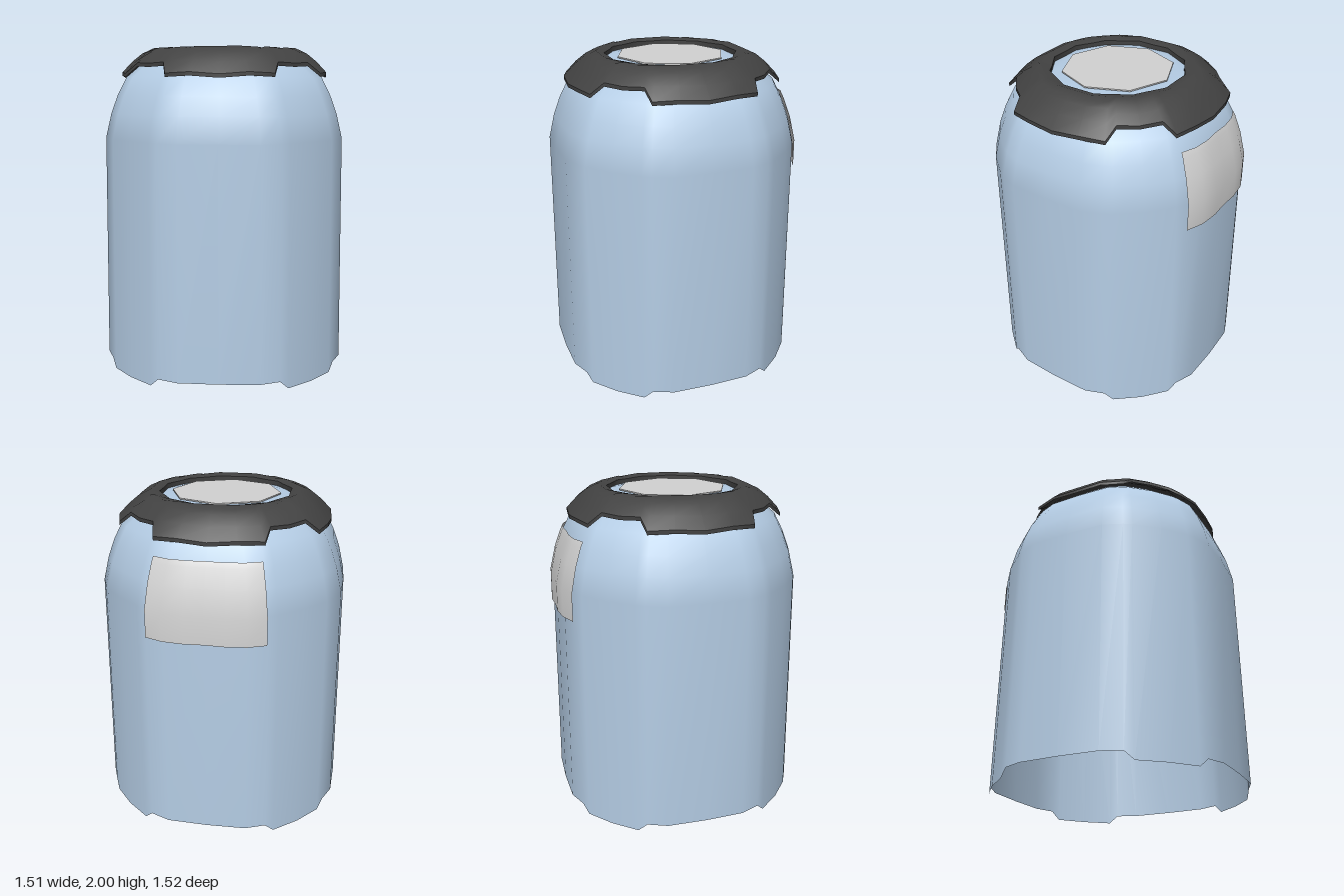
import * as THREE from 'three';

const blue = new THREE.MeshStandardMaterial({ name: 'paleBlueShell', color: 0xb4cce4, side: THREE.DoubleSide });
const dark = new THREE.MeshStandardMaterial({ name: 'charcoalRing', color: 0x424242 });
const grey = new THREE.MeshStandardMaterial({ name: 'lightGreyPanel', color: 0xd2d2d2, side: THREE.DoubleSide });

// Piecewise linear lookup in [x, y] pairs with rising x
function lookup(table, x) {
  if (x <= table[0][0]) return table[0][1];
  for (let i = 1; i < table.length; i++) {
    const [x0, y0] = table[i - 1], [x1, y1] = table[i];
    if (x <= x1) return y0 + (y1 - y0) * (x - x0) / (x1 - x0);
  }
  return table[table.length - 1][1];
}

// Angle in degrees from the nearest flat side, 0 to 45
const fold = (deg) => { const a = ((deg % 90) + 90) % 90; return Math.min(a, 90 - a); };

// Rounded-square plan: radius factor by angle
const plan = (deg) => lookup([[0, 1], [18, 1.04], [31.5, 1.041], [45, 1.033]], fold(deg));

// Repeats half-quadrant angles by mirroring around the full turn
function fullTurn(half) {
  const quarter = [...half, ...half.filter((a) => a > 0 && a < 45).map((a) => 90 - a).reverse()];
  return [0, 90, 180, 270].flatMap((q) => quarter.map((a) => a + q));
}

const polar = (deg, r, y) => {
  const a = THREE.MathUtils.degToRad(deg);
  return [Math.sin(a) * r, y, Math.cos(a) * r];
};

// Smooth sheet over rows of points, wrapped around if closed
function sheet(name, rows, material, closed = true) {
  const n = rows[0].length, index = [];
  for (let i = 0; i < rows.length - 1; i++) {
    for (let j = 0; j < (closed ? n : n - 1); j++) {
      const k = (j + 1) % n;
      const a = i * n + j, b = i * n + k, c = a + n, d = b + n;
      index.push(a, b, d, a, d, c);
    }
  }
  const g = new THREE.BufferGeometry();
  g.setAttribute('position', new THREE.Float32BufferAttribute(rows.flat(2), 3));
  g.setIndex(index);
  g.computeVertexNormals();
  const mesh = new THREE.Mesh(g, material);
  mesh.name = name;
  return mesh;
}

// Shell profile as [height, radius]
const profile = [[0, 0.755], [0.05, 0.755], [1.45, 0.74], [1.6, 0.705], [1.71, 0.665],
  [1.82, 0.61], [1.915, 0.5], [1.95, 0.42], [1.965, 0.34], [1.97, 0]];

function makeShell() {
  const angles = fullTurn([0, 18, 27.4, 31.5, 45]);
  const rows = profile.slice(1).map(([y, r], i) => angles.map((a) => {
    // Four feet drop to the ground at the corners
    const height = i === 0 && fold(a) > 30 ? 0 : y;
    return polar(a, r * plan(a), height);
  }));
  return sheet('shell', rows, blue);
}

// Ring over the shoulder, with four tabs and a notch at each corner
function makeRing() {
  const ring = new THREE.Group();
  ring.name = 'capRing';
  const angles = fullTurn([0, 15, 28, 33, 45]);
  const crown = [[0.39, 1.985], [0.44, 2], [0.52, 1.962], [0.58, 1.91], [0.645, 1.838]];
  const inner = (a) => lookup([[0, 0.39], [17, 0.408], [28, 0.39], [33, 0.389], [45, 0.405]], fold(a));
  const outer = (a) => lookup([[0, 0.645], [15, 0.655], [28, 0.667], [33, 0.607], [45, 0.608]], fold(a));
  const row = (t, drop) => angles.map((a) => {
    const r = inner(a) + (outer(a) - inner(a)) * t;
    return polar(a, r, lookup(crown, r / plan(a)) - drop);
  });
  const steps = [0, 0.2, 0.35, 0.5, 0.75, 1];
  const drop = 0.022;
  ring.add(
    sheet('ringTop', [...steps].reverse().map((t) => row(t, 0)), dark),
    sheet('ringUnderside', steps.map((t) => row(t, drop)), dark),
    sheet('ringOuterEdge', [row(1, drop), row(1, 0)], dark),
    sheet('ringInnerEdge', [row(0, 0), row(0, 0.03)], dark),
  );
  return ring;
}

// Curved plate hugging the back of the shell
function makeBackPanel() {
  const angles = [-26.4, -18, -9, 0, 9, 18, 26.4];
  const rows = [1.28, 1.45, 1.6, 1.71, 1.74].map((y) =>
    angles.map((a) => polar(180 + a, lookup(profile, y) * plan(a) + 0.014, y)));
  return sheet('backPanel', rows, grey, false);
}

export function createModel() {
  const model = new THREE.Group();
  model.name = 'domedCanister';

  // Eight-sided plate on the crown
  const topPlate = new THREE.Mesh(new THREE.CylinderGeometry(0.335, 0.335, 0.008, 8), grey);
  topPlate.name = 'topPlate';
  topPlate.position.y = 1.974;

  model.add(makeShell(), makeRing(), makeBackPanel(), topPlate);
  return model;
}
